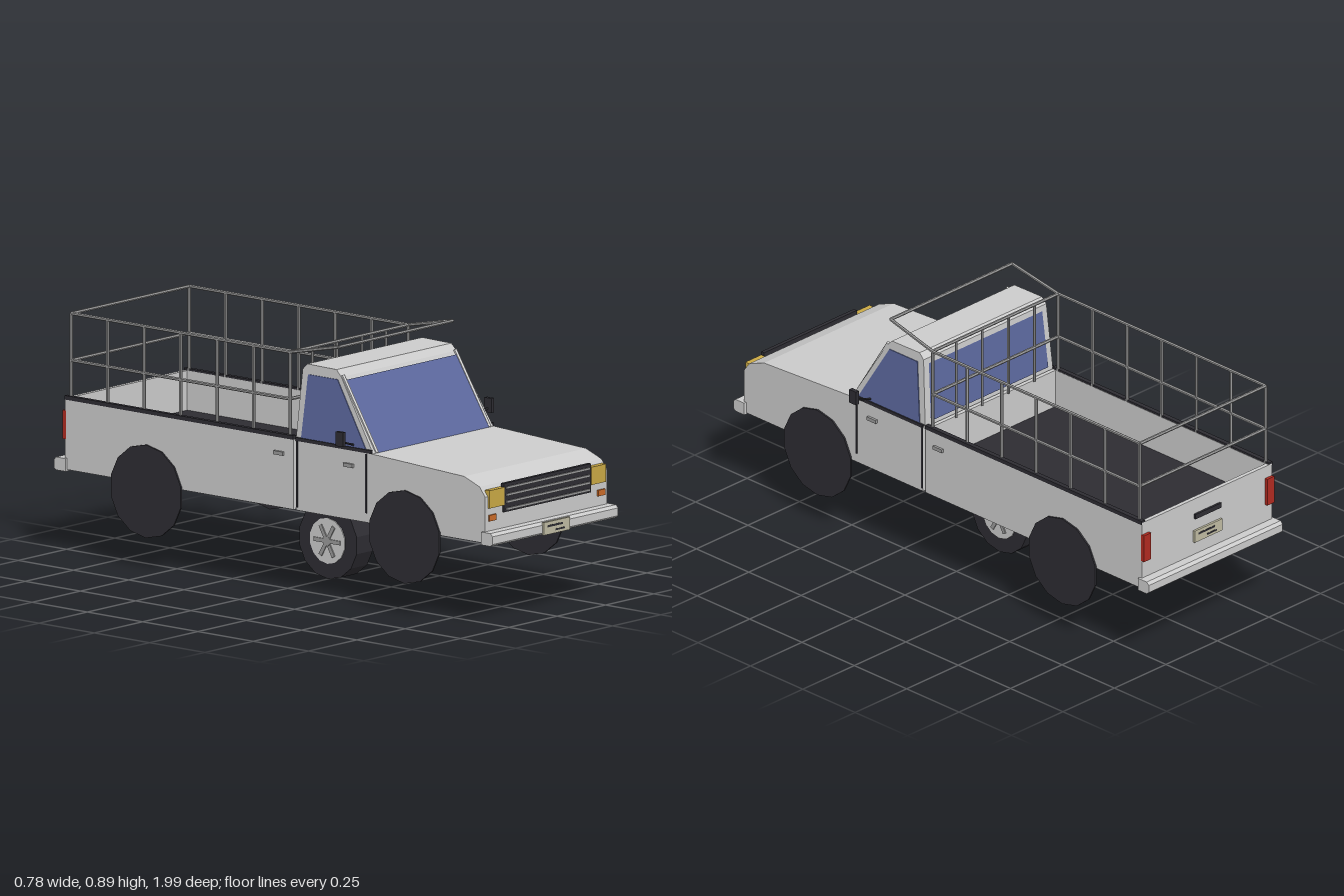
import * as THREE from 'three';

const paint = (color) => new THREE.MeshStandardMaterial({ color, flatShading: true, side: THREE.DoubleSide });
const grey = paint(0xcccccc), dark = paint(0x2d2c32), glass = paint(0x5c689e), steel = paint(0x999999);
const gold = paint(0xc9a845), red = paint(0xb02a20), orange = paint(0xc96a28), cream = paint(0xbfbba2);

export function createModel() {
  const model = new THREE.Group();

  const add = (name, geometry, material) => {
    const mesh = new THREE.Mesh(geometry, material);
    mesh.name = name;
    model.add(mesh);
    return mesh;
  };

  const box = (name, material, w, h, d, x, y, z) => {
    const mesh = add(name, new THREE.BoxGeometry(w, h, d), material);
    mesh.position.set(x, y, z);
    return mesh;
  };

  // side profile of [z, y] points, extruded across x and centred at cx
  const profile = (points, width, cx = 0) => {
    const shape = new THREE.Shape(points.map(([z, y]) => new THREE.Vector2(z, y)));
    const g = new THREE.ExtrudeGeometry(shape, { depth: width, bevelEnabled: false });
    return g.translate(0, 0, -width / 2).rotateY(-Math.PI / 2).translate(cx, 0, 0);
  };

  // cab sides lean inwards with height
  const lean = (g) => {
    const p = g.attributes.position;
    for (let i = 0; i < p.count; i++) p.setX(i, p.getX(i) * (1 - 0.16 * (p.getY(i) - 0.54)));
    g.computeVertexNormals();
    return g;
  };

  // flat four-cornered pane, corners given in order
  const pane = (name, corners) => {
    const g = new THREE.BufferGeometry();
    g.setAttribute('position', new THREE.Float32BufferAttribute(corners.flat(), 3));
    g.setIndex([0, 1, 2, 0, 2, 3]);
    g.computeVertexNormals();
    return add(name, g, glass);
  };

  // straight bar between two points
  const bar = (name, a, b, r = 0.006, material = steel) => {
    const from = new THREE.Vector3(...a), dir = new THREE.Vector3(...b).sub(from);
    const mesh = add(name, new THREE.CylinderGeometry(r, r, dir.length(), 6), material);
    mesh.position.copy(from).addScaledVector(dir, 0.5);
    mesh.quaternion.setFromUnitVectors(new THREE.Vector3(0, 1, 0), dir.normalize());
  };

  // front body: bonnet and lower cab
  add('frontBody', profile([[0.095, 0.295], [0.95, 0.295], [0.95, 0.455], [0.925, 0.488],
    [0.855, 0.515], [0.437, 0.536], [0.095, 0.542]], 0.63), grey);

  // upper cab with its windows
  add('cab', lean(profile([[0.44, 0.535], [0.285, 0.78], [0.262, 0.803], [0.13, 0.805],
    [0.11, 0.785], [0.09, 0.535]], 0.62)), grey);
  pane('windscreen', [[-0.285, 0.537, 0.443], [0.285, 0.537, 0.443], [0.283, 0.77, 0.296], [-0.283, 0.77, 0.296]]);
  pane('rearWindow', [[0.285, 0.555, 0.088], [-0.285, 0.555, 0.088], [-0.275, 0.765, 0.107], [0.275, 0.765, 0.107]]);
  for (const s of [-1, 1]) {
    add('sideWindow', lean(profile([[0.408, 0.547], [0.27, 0.77], [0.137, 0.77], [0.115, 0.547]],
      0.004, s * 0.311)), glass);
    // raised windscreen pillar
    bar('windscreenPillar', [s * 0.291, 0.537, 0.44], [s * 0.29, 0.785, 0.285], 0.007, grey);
  }

  // load bed: walls, base and dark floor
  const bedFront = 0.083, bedBack = -0.95, bedMid = (bedFront + bedBack) / 2, bedLength = bedFront - bedBack;
  box('bedBase', grey, 0.63, 0.105, bedLength, 0, 0.3475, bedMid);
  box('bedFloor', dark, 0.6, 0.008, bedLength - 0.03, 0, 0.403, bedMid);
  box('bedFrontWall', grey, 0.63, 0.145, 0.015, 0, 0.4725, bedFront - 0.0075);
  box('tailgate', grey, 0.63, 0.145, 0.015, 0, 0.4725, bedBack + 0.0075);

  // cargo rack
  const low = 0.545, mid = 0.675, top = 0.838, rx = 0.305, zf = 0.06, zb = -0.93;
  for (const s of [-1, 1]) {
    for (let i = 0; i < 7; i++) {
      const z = zf + (zb - zf) * i / 6;
      bar('rackPost', [s * rx, low, z], [s * rx, top, z]);
    }
    for (const y of [mid, top]) bar('rackSideRail', [s * rx, y, zf], [s * rx, y, zb]);
    bar('rackVisorArm', [s * rx, top, zf], [s * 0.295, 0.882, 0.27]);
    for (const x of [0.064, 0.19]) bar('rackFrontPost', [s * x, low, zf], [s * x, top, zf], 0.005);
  }
  for (const y of [mid, top])
    for (const z of [zf, zb]) bar('rackCrossRail', [-rx, y, z], [rx, y, z]);
  bar('rackVisorBar', [-0.295, 0.882, 0.27], [0.295, 0.882, 0.27]);

  // parts on both flanks
  for (const s of [-1, 1]) {
    box('bedSideWall', grey, 0.015, 0.145, bedLength, s * 0.3075, 0.4725, bedMid);
    box('bedRail', dark, 0.017, 0.014, bedLength, s * 0.3095, 0.545, bedMid);
    box('beltStrip', dark, 0.008, 0.012, 0.34, s * 0.313, 0.542, 0.265);
    box('doorSeamFront', dark, 0.004, 0.205, 0.007, s * 0.3155, 0.43, 0.413);
    box('doorSeamRear', dark, 0.004, 0.235, 0.008, s * 0.3155, 0.423, 0.1);
    for (const z of [0.335, 0.02]) box('doorHandle', steel, 0.01, 0.013, 0.042, s * 0.319, 0.484, z);

    // wheel discs against the flanks
    for (const z of [0.592, -0.577]) {
      const disc = add('wheelDisc', new THREE.CylinderGeometry(0.162, 0.162, 0.006, 14), dark);
      disc.rotation.set(Math.PI / 14, 0, Math.PI / 2);
      disc.position.set(s * 0.321, 0.27, z);
    }

    // mirror on its arm
    box('mirror', dark, 0.015, 0.05, 0.032, s * 0.384, 0.588, 0.357);
    bar('mirrorArm', [s * 0.305, 0.554, 0.35], [s * 0.384, 0.578, 0.355], 0.004, dark);

    // lamps
    box('headlight', gold, 0.077, 0.062, 0.02, s * 0.263, 0.446, 0.948);
    box('indicator', orange, 0.036, 0.021, 0.016, s * 0.281, 0.38, 0.948);
    box('tailLight', red, 0.034, 0.1, 0.016, s * 0.299, 0.45, -0.953);
  }

  // grille with slats
  box('grille', dark, 0.45, 0.1, 0.014, 0, 0.44, 0.95);
  for (let i = 0; i < 4; i++) box('grilleSlat', steel, 0.43, 0.008, 0.006, 0, 0.4 + i * 0.0247, 0.959);

  // chamfered bumpers and blank plates
  for (const s of [-1, 1]) {
    add('bumper', profile([[0.94, 0.29], [0.982, 0.29], [0.992, 0.298], [0.992, 0.325], [0.982, 0.335], [0.94, 0.335]]
      .map(([z, y]) => [s * z, y]), 0.65), grey);
    const y = s > 0 ? 0.313 : 0.405, z = s > 0 ? 0.995 : -0.953;
    box('plate', cream, 0.134, 0.044, 0.01, 0, y, z);
    box('plateBar', dark, 0.08, 0.007, 0.002, -s * 0.01, y + 0.007, z + s * 0.005);
    box('plateBar', dark, 0.048, 0.006, 0.002, s * 0.015, y - 0.01, z + s * 0.005);
  }
  box('tailgateHandle', dark, 0.125, 0.018, 0.01, 0, 0.48, -0.953);

  // central wheel
  const wheel = new THREE.Group();
  wheel.name = 'centreWheel';
  wheel.position.y = 0.133;
  const round = (name, r, width, sides, material) => {
    const mesh = new THREE.Mesh(new THREE.CylinderGeometry(r, r, width, sides), material);
    mesh.name = name;
    mesh.rotation.set(Math.PI / sides, 0, Math.PI / 2);
    wheel.add(mesh);
  };
  round('tyre', 0.133, 0.083, 14, dark);
  round('rim', 0.08, 0.09, 14, grey);
  round('hub', 0.018, 0.1, 8, steel);
  for (let i = 0; i < 3; i++) {
    const spoke = new THREE.Mesh(new THREE.BoxGeometry(0.098, 0.12, 0.014), steel);
    spoke.name = 'spokePair';
    spoke.rotation.x = i * Math.PI / 3 + Math.PI / 6;
    wheel.add(spoke);
  }
  model.add(wheel);

  return model;
}
